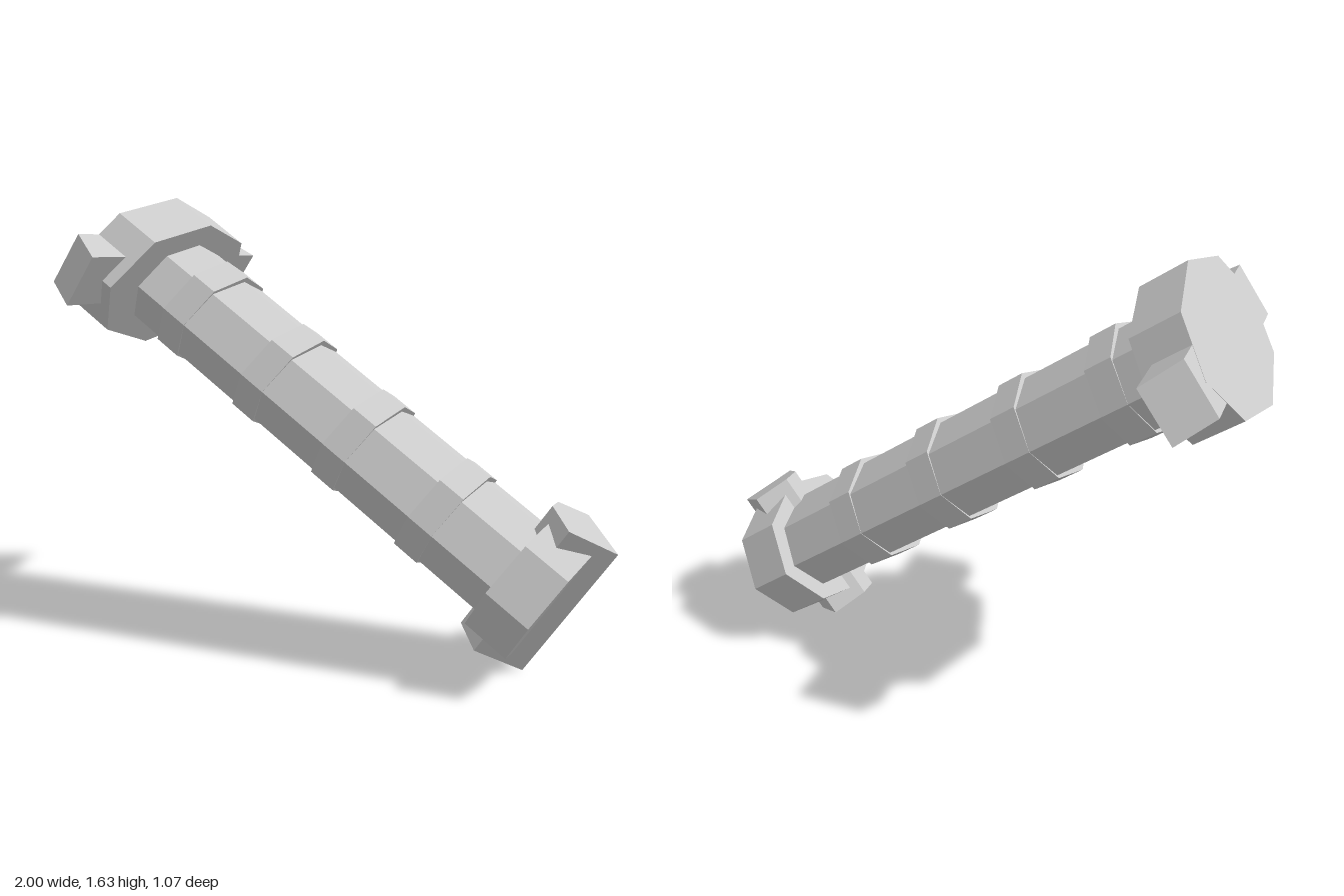
import * as THREE from 'three';

const material = new THREE.MeshStandardMaterial({ color: 0xcccccc, flatShading: true });

const shapeOf = (points) => new THREE.Shape(points.map(([x, y]) => new THREE.Vector2(x, y)));

function add(parent, name, geometry) {
  const mesh = new THREE.Mesh(geometry, material);
  mesh.name = name;
  parent.add(mesh);
  return mesh;
}

// Eight-sided prism along y: tip = reach in x, [sx, sz] = shoulder corner, side = reach in z
function octagonPrism(tip, [sx, sz], side, bottom, top) {
  const outline = [
    [tip, 0], [sx, sz], [0, side], [-sx, sz],
    [-tip, 0], [-sx, -sz], [0, -side], [sx, -sz],
  ];
  return new THREE.ExtrudeGeometry(shapeOf(outline), { depth: top - bottom, bevelEnabled: false })
    .rotateX(-Math.PI / 2)
    .translate(0, bottom, 0);
}

// Outline given in (z, y), extruded evenly to both sides along x
function crossPrism(outline, width) {
  return new THREE.ExtrudeGeometry(shapeOf(outline), { depth: width, bevelEnabled: false })
    .translate(0, 0, -width / 2)
    .rotateY(-Math.PI / 2);
}

export function createModel() {
  const model = new THREE.Group();
  model.name = 'hilt';

  // The hilt is built upright along y, then leaned over
  const hilt = new THREE.Group();
  hilt.name = 'leaningHilt';
  hilt.rotation.z = THREE.MathUtils.degToRad(55);
  hilt.position.set(0.383, 0.547, 0);
  model.add(hilt);

  // Grip with four slightly raised bands
  add(hilt, 'grip', octagonPrism(0.18, [0.132, 0.175], 0.25, -0.4, 1.4));
  for (let i = 0; i < 4; i++) {
    const y = 1.086 - i * 0.386;
    add(hilt, 'gripBand' + (i + 1), octagonPrism(0.2, [0.143, 0.176], 0.251, y, y + 0.102));
  }

  // Guard plate and the two arms with sloped ends
  add(hilt, 'guard', octagonPrism(0.268, [0.19, 0.295], 0.412, 1.32, 1.5));
  add(hilt, 'guardArms', crossPrism(
    [[-0.535, 1.362], [0.535, 1.362], [0.465, 1.499], [-0.465, 1.499]], 0.2));

  // Pommel and the keel running across its end
  add(hilt, 'pommel', octagonPrism(0.245, [0.174, 0.22], 0.312, -0.5, -0.327));
  add(hilt, 'pommelKeel', crossPrism(
    [[0, -0.561], [0.13, -0.4], [0.035, -0.3], [-0.035, -0.3], [-0.13, -0.4]], 0.546));

  return model;
}
